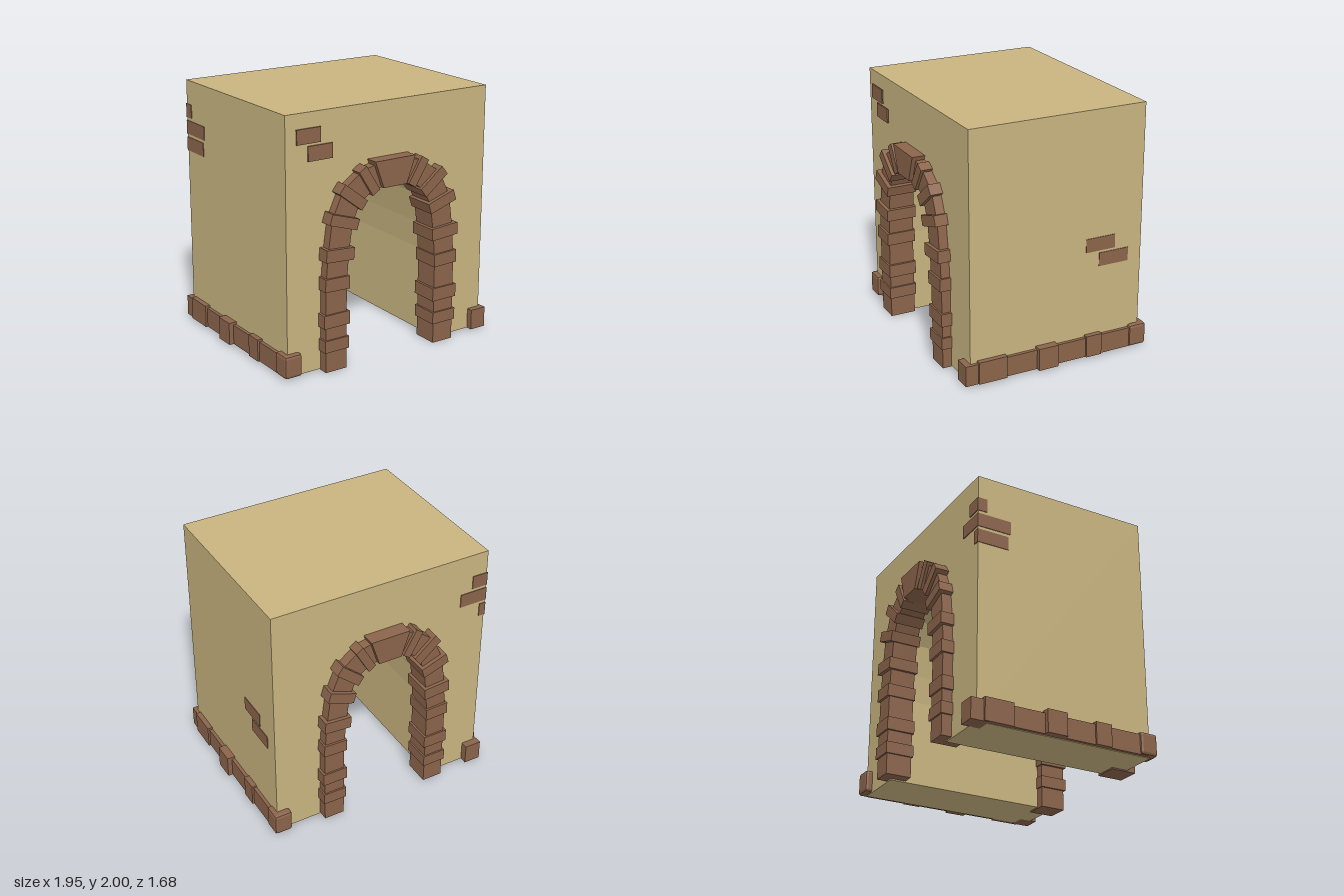
import * as THREE from 'three';
import { RoundedBoxGeometry } from 'three/addons/geometries/RoundedBoxGeometry.js';

const plaster = new THREE.MeshStandardMaterial({ color: 0xc8b47f, flatShading: true });
const brick = new THREE.MeshStandardMaterial({ color: 0x8b644b, flatShading: true });

function add(parent, name, geometry, material = brick) {
  const mesh = new THREE.Mesh(geometry, material);
  mesh.name = name;
  parent.add(mesh);
  return mesh;
}

// Box given by its limits on each axis
function block(parent, name, [x0, x1], [y0, y1], [z0, z1], bevel = 0) {
  const size = [x1 - x0, y1 - y0, z1 - z0];
  const geometry = bevel ? new RoundedBoxGeometry(...size, 1, bevel) : new THREE.BoxGeometry(...size);
  const mesh = add(parent, name, geometry);
  mesh.position.set((x0 + x1) / 2, (y0 + y1) / 2, (z0 + z1) / 2);
  return mesh;
}

// Plain wall block with a vaulted passage through it
function makeWall() {
  const vault = [[0.46, 0.01], [0.46, 0.7], [0.44, 0.92], [0.4, 1.17], [0.31, 1.34], [0.18, 1.42], [0, 1.45]];
  const left = vault.slice(0, -1).map(([x, y]) => [-x, y]).reverse();
  const outline = [[0.91, 0.01], [0.91, 2], [-0.91, 2], [-0.91, 0.01], ...left.reverse(), ...vault.slice().reverse()];
  const shape = new THREE.Shape(outline.map(([x, y]) => new THREE.Vector2(x, y)));
  const geometry = new THREE.ExtrudeGeometry(shape, { depth: 1.46, bevelEnabled: false });
  return geometry.translate(0, 0, -0.725);
}

// Stone arch: projecting stones at each node, plain stones between them, keystone on top
function makeArch(name) {
  const arch = new THREE.Group();
  arch.name = name;
  // x, y, tilt in degrees, length across the arch, thickness, front z
  const nodes = [
    [0.505, 0, 0, 0, 0, 0],
    [0.505, 0.212, 0, 0.215, 0.095, 0.82],
    [0.505, 0.41, 0, 0.225, 0.105, 0.82],
    [0.503, 0.695, 2, 0.215, 0.1, 0.825],
    [0.485, 0.92, 4, 0.245, 0.095, 0.835],
    [0.45, 1.167, 18, 0.25, 0.085, 0.84],
    [0.37, 1.34, 38, 0.25, 0.085, 0.835],
    [0.225, 1.44, 58, 0.23, 0.075, 0.83],
    [0.09, 1.465, 80, 0, 0, 0],
  ];
  for (const side of [-1, 1]) {
    nodes.forEach(([x, y, tilt, length, thick, front], i) => {
      if (length) {
        const stone = add(arch, 'projectingStone', new THREE.BoxGeometry(length, thick, front - 0.59));
        stone.position.set(side * x, y, (front + 0.59) / 2);
        stone.rotation.z = side * THREE.MathUtils.degToRad(tilt);
      }
      if (i === 0) return;
      const [px, py] = nodes[i - 1];
      const stone = add(arch, 'plainStone', new THREE.BoxGeometry(0.185, Math.hypot(x - px, y - py), 0.207));
      stone.position.set(side * (x + px) / 2, (y + py) / 2, 0.7035);
      stone.rotation.z = side * Math.atan2(px - x, y - py);
    });
  }
  const wedge = new THREE.Shape([[-0.105, 1.37], [0.105, 1.37], [0.182, 1.58], [-0.182, 1.58]]
    .map(([x, y]) => new THREE.Vector2(x, y)));
  add(arch, 'keystone', new THREE.ExtrudeGeometry(wedge, { depth: 0.25, bevelEnabled: false })).position.z = 0.59;
  return arch;
}

// Low course of stones along one side, with a block at each corner
function makeBaseCourse(name) {
  const course = new THREE.Group();
  course.name = name;
  block(course, 'courseStrip', [0.89, 0.937], [0.015, 0.175], [-0.7, 0.7]);
  block(course, 'bevelledCornerStone', [0.805, 0.953], [0.015, 0.195], [-0.78, -0.63], 0.022);
  block(course, 'cornerStone', [0.8, 0.937], [0.01, 0.175], [0.64, 0.785]);
  block(course, 'courseStone', [0.88, 0.952], [0.012, 0.192], [0.445, 0.68]);
  block(course, 'courseStone', [0.88, 0.975], [0.015, 0.196], [0.02, 0.185]);
  block(course, 'courseStone', [0.88, 0.952], [0.015, 0.192], [-0.375, -0.24]);
  return course;
}

export function createModel() {
  const model = new THREE.Group();
  model.name = 'archedGateway';
  add(model, 'wall', makeWall(), plaster);

  const frontArch = makeArch('frontArch');
  frontArch.position.x = -0.02;
  const backArch = makeArch('backArch');
  backArch.position.set(-0.005, 0.02, 0);
  backArch.rotation.y = Math.PI;
  backArch.scale.x = 0.9;

  const leftCourse = makeBaseCourse('leftBaseCourse');
  const rightCourse = makeBaseCourse('rightBaseCourse');
  rightCourse.rotation.y = Math.PI;
  model.add(frontArch, backArch, leftCourse, rightCourse);

  // Bare bricks on the front and the left wall
  block(model, 'frontBrick', [-0.825, -0.62], [1.775, 1.887], [0.743, 0.755]);
  block(model, 'frontBrick', [-0.73, -0.518], [1.642, 1.755], [0.743, 0.755]);
  block(model, 'sideBrick', [0.9, 0.915], [0.88, 0.99], [-0.49, -0.24]);
  block(model, 'sideBrick', [0.9, 0.915], [0.75, 0.86], [-0.61, -0.355]);

  // Bare bricks wrapping the back right corner: bottom, reach along back, reach along side
  for (const [y, x, z] of [[1.7, -0.785, -0.65], [1.565, -0.685, -0.45], [1.43, -0.86, -0.47]]) {
    block(model, 'cornerBrickBack', [-0.915, x], [y, y + 0.11], [-0.731, -0.71]);
    block(model, 'cornerBrickSide', [-0.915, -0.9], [y, y + 0.11], [-0.731, z]);
  }
  return model;
}
